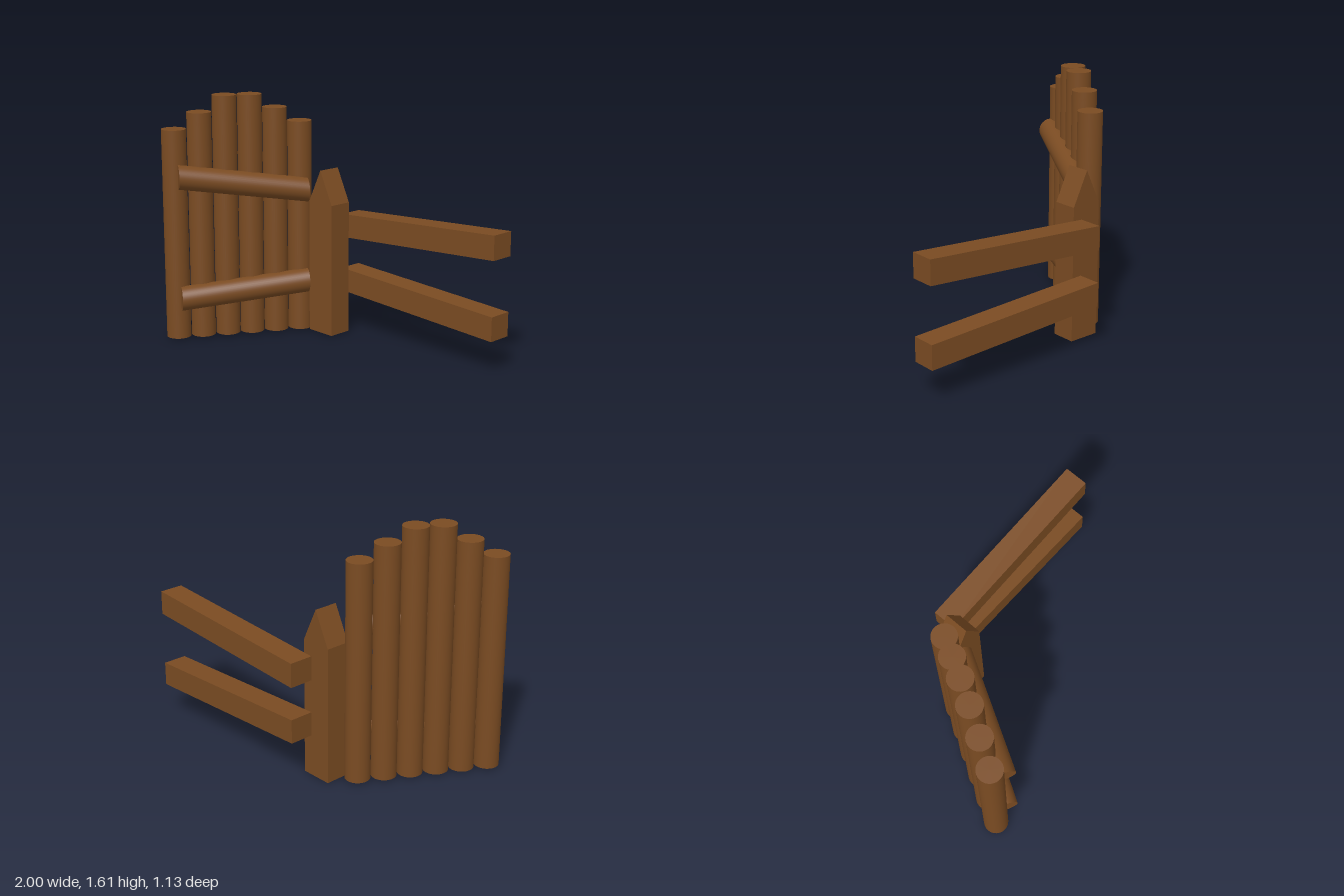
import * as THREE from 'three';

const wood = new THREE.MeshStandardMaterial({ color: 0x7a4b22 });
wood.name = 'brown wood';

function addPart(parent, name, geometry, x, y, z) {
  const mesh = new THREE.Mesh(geometry, wood);
  mesh.name = name;
  mesh.position.set(x, y, z);
  parent.add(mesh);
  return mesh;
}

// Slant a beam lying along x by a rise over its length, keeping its ends upright
function slant(geometry, length, rise) {
  const shear = new THREE.Matrix4();
  shear.elements[1] = rise / length;
  return geometry.applyMatrix4(shear);
}

export function createModel() {
  const model = new THREE.Group();
  model.name = 'fenceGate';

  // Gate leaf swung open by 60 degrees: local x runs along it, local z faces forward
  const gate = new THREE.Group();
  gate.name = 'gate';
  gate.position.set(-0.92, 0, 0.485);
  gate.rotation.y = Math.PI / 3;
  model.add(gate);

  // Upright logs
  const radius = 0.08, base = 0.01, spacing = 0.1655;
  [1.4, 1.505, 1.61, 1.61, 1.52, 1.425].forEach((top, i) => {
    const h = top - base;
    addPart(gate, 'uprightLog' + (i + 1),
      new THREE.CylinderGeometry(radius, radius, h, 40), i * spacing, base + h / 2, 0);
  });

  // Slanted cross logs on the front of the gate
  const crossLength = 0.852;
  for (const [name, y0, y1] of [['upperCrossLog', 1.098, 0.973], ['lowerCrossLog', 0.285, 0.355]]) {
    const g = new THREE.CylinderGeometry(radius, radius, crossLength, 40).rotateZ(-Math.PI / 2);
    addPart(gate, name, slant(g, crossLength, y1 - y0), 0.01 + crossLength / 2, (y0 + y1) / 2, 0.076);
  }

  // Pointed post
  const outline = new THREE.Shape([[-0.105, 0], [0.105, 0], [0.105, 0.89], [0, 1.11], [-0.105, 0.89]]
    .map(([x, y]) => new THREE.Vector2(x, y)));
  addPart(model, 'post',
    new THREE.ExtrudeGeometry(outline, { depth: 0.16, bevelEnabled: false }), -0.323, 0, -0.406);

  // Slanted fence rails behind the post
  const railLength = 1.284;
  for (const [name, y0, y1] of [['upperRail', 0.722, 0.808], ['lowerRail', 0.352, 0.298]]) {
    const g = new THREE.BoxGeometry(railLength, 0.157, 0.16);
    addPart(model, name, slant(g, railLength, y1 - y0), 1 - railLength / 2, (y0 + y1) / 2, -0.487);
  }

  return model;
}
